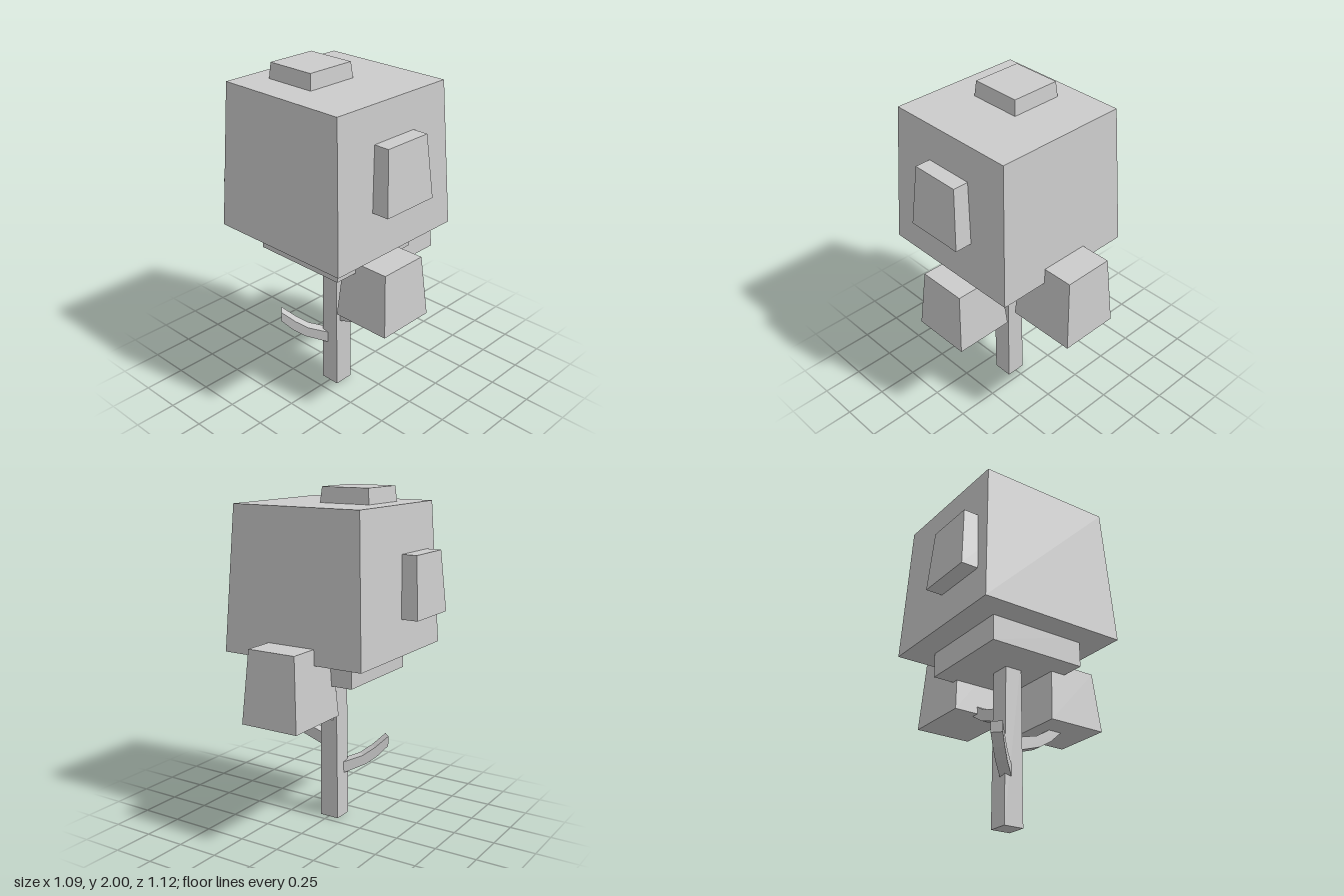
import * as THREE from 'three';

const material = new THREE.MeshStandardMaterial({ color: 0xcccccc, flatShading: true });

// Tapered block: bottom and top are rectangles [x0, x1, z0, z1] at heights y0 and y1
function block(name, y0, y1, bottom, top = bottom) {
  const geometry = new THREE.BoxGeometry(1, 1, 1);
  const p = geometry.attributes.position;
  for (let i = 0; i < p.count; i++) {
    const high = p.getY(i) > 0;
    const r = high ? top : bottom;
    p.setXYZ(i, p.getX(i) < 0 ? r[0] : r[1], high ? y1 : y0, p.getZ(i) < 0 ? r[2] : r[3]);
  }
  geometry.computeVertexNormals();
  const mesh = new THREE.Mesh(geometry, material);
  mesh.name = name;
  return mesh;
}

// Shrinks a rectangle evenly on all sides
const inset = ([x0, x1, z0, z1], d) => [x0 + d, x1 - d, z0 + d, z1 - d];

// Upward-bending branch that leaves the trunk at height y, turned by angle
function branch(name, y, angle, scale = 1) {
  const lower = [[0.03, -0.006], [0.06, 0], [0.19, 0.043], [0.265, 0.09], [0.33, 0.15]];
  const upper = [[0.33, 0.212], [0.245, 0.145], [0.17, 0.1], [0.06, 0.07], [0.03, 0.065]];
  const shape = new THREE.Shape([...lower, ...upper].map(([d, h]) => new THREE.Vector2(d * scale, h * scale)));
  const width = 0.064;
  const geometry = new THREE.ExtrudeGeometry(shape, { depth: width, bevelEnabled: false });
  geometry.translate(0, 0, -width / 2);
  const mesh = new THREE.Mesh(geometry, material);
  mesh.name = name;
  mesh.position.set(0, y, 0.11);
  mesh.rotation.y = angle;
  return mesh;
}

export function createModel() {
  const tree = new THREE.Group();
  tree.name = 'tree';

  // Trunk and branches
  tree.add(
    block('trunk', 0, 1.0, [-0.063, 0.06, 0.048, 0.17], [-0.046, 0.06, 0.048, 0.17]),
    branch('leftBranch', 0.447, 0, 1.09),
    branch('backBranch', 0.627, Math.PI / 2, 1.09),
    branch('frontBranch', 0.275, -Math.PI * 0.75),
  );

  // Main crown with the slab beneath it
  const crown = [-0.455, 0.455, -0.35, 0.56];
  tree.add(
    block('crown', 1.065, 1.91, crown, inset(crown, 0.045)),
    block('crownBase', 0.915, 1.1, [-0.3, 0.3, -0.192, 0.408]),
  );

  // Smaller leaf clumps: name, y range, footprint, taper
  const clumps = [
    ['topClump', 1.88, 2, [-0.285, 0.039, 0.003, 0.327], 0.011],
    ['leftClump', 1.335, 1.7, [0.18, 0.545, -0.077, 0.287], 0.03],
    ['rightClump', 1.275, 1.637, [-0.546, -0.184, 0.105, 0.467], 0.03],
    ['lowLeftClump', 0.61, 0.975, [0.18, 0.543, -0.073, 0.29], 0.03],
    ['backClump', 0.73, 1.155, [-0.183, 0.18, -0.56, -0.137], 0.03],
  ];
  for (const [name, y0, y1, base, taper] of clumps) {
    tree.add(block(name, y0, y1, base, inset(base, taper)));
  }
  return tree;
}
